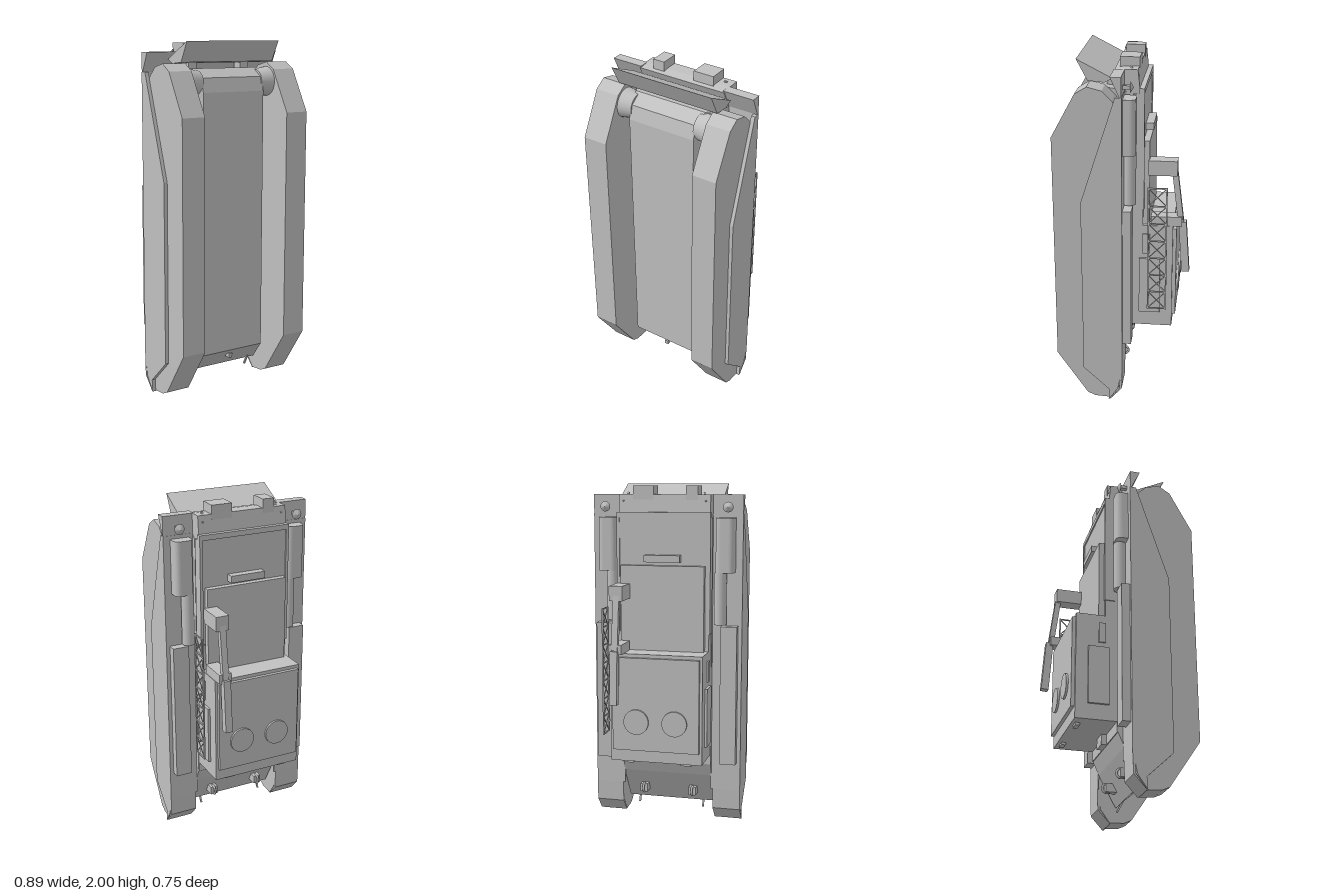
import * as THREE from 'three';
import { ConvexGeometry } from 'three/addons/geometries/ConvexGeometry.js';

export function createModel() {
  const model = new THREE.Group();
  const grey = new THREE.MeshStandardMaterial({ color: 0xc0c0c0 });
  grey.name = 'plainGrey';
  const sides = [-1, 1];

  const add = (name, geometry, parent = model) => {
    const mesh = new THREE.Mesh(geometry, grey);
    mesh.name = name;
    parent.add(mesh);
    return mesh;
  };
  // box from its lower and upper limits
  const box = (name, x0, x1, y0, y1, z0, z1) => {
    const m = add(name, new THREE.BoxGeometry(x1 - x0, y1 - y0, z1 - z0));
    m.position.set((x0 + x1) / 2, (y0 + y1) / 2, (z0 + z1) / 2);
    return m;
  };
  // box mirrored to either side
  const pair = (name, x0, x1, y0, y1, z0, z1) => sides.forEach(s =>
    box(name, Math.min(s * x0, s * x1), Math.max(s * x0, s * x1), y0, y1, z0, z1));
  // side profile in (z, y), extruded across x
  const profile = (name, points, x0, x1) => {
    const shape = new THREE.Shape(points.map(p => new THREE.Vector2(...p)));
    const g = new THREE.ExtrudeGeometry(shape, { depth: x1 - x0, bevelEnabled: false });
    g.rotateY(-Math.PI / 2).translate(x1, 0, 0);
    return add(name, g);
  };
  // thin square bar between two points
  const bar = (name, a, b, w, d = w) => {
    const p = new THREE.Vector3(...a), q = new THREE.Vector3(...b);
    const m = add(name, new THREE.BoxGeometry(w, p.distanceTo(q), d));
    m.position.copy(p).add(q).multiplyScalar(0.5);
    m.quaternion.setFromUnitVectors(new THREE.Vector3(0, 1, 0), q.sub(p).normalize());
    return m;
  };

  // lower hull, tapering to a narrow belly
  const hull = [];
  for (const s of sides) {
    for (const [x, y, z] of [[0.205, 0.22, 0.25], [0.205, 1.72, 0.25], [0.205, 1.8, 0.23],
      [0.22, 1.85, 0.16], [0.27, 1.84, 0.08], [0.27, 1.83, 0], [0.262, 0.09, 0.1],
      [0.27, 0.28, 0], [0.27, 0.36, -0.035], [0.27, 1.8, -0.035]])
      hull.push(new THREE.Vector3(s * x, y, z));
  }
  add('lowerHull', new ConvexGeometry(hull));

  // track units, side skirts and fenders
  const track = [[0.375, 0.29], [0.375, 1.6], [0.245, 1.84], [0.18, 1.88], [0.1, 1.86], [0.05, 1.81],
    [0, 1.75], [0, 0.18], [0.015, 0.08], [0.07, 0.005], [0.155, 0.01], [0.2, 0.03]];
  const skirt = [[0.22, 0.21], [0.22, 1.24], [0.03, 1.83], [0, 1.83], [0, 0.18], [0.02, 0.08],
    [0.075, 0], [0.07, 0.07]];
  for (const s of sides) {
    const span = (a, b) => s > 0 ? [a, b] : [-b, -a];
    profile('trackUnit', track, ...span(0.278, 0.422));
    profile('sideSkirt', skirt, ...span(0.42, 0.443));
    profile('frontFlap', [[-0.004, 1.94], [0.055, 1.94], [0.004, 1.83], [-0.004, 1.83]], ...span(0.26, 0.443));
    profile('rearFlap', [[0.004, 0.2], [0.012, 0.08], [0.07, 0], [-0.002, 0.08], [-0.006, 0.2]], ...span(0.278, 0.443));
    const drive = add('finalDrive', new THREE.CylinderGeometry(0.085, 0.07, 0.085, 24));
    drive.rotation.z = -s * Math.PI / 2;
    drive.position.set(s * 0.24, 1.77, 0.175);
  }
  pair('fender', 0.265, 0.443, 0.2, 1.83, -0.006, 0.002);

  // upper hull, front plate and engine deck
  profile('upperHull', [[0.01, 0.36], [0.01, 1.83], [0.055, 1.93], [0, 1.94], [-0.075, 1.94],
    [-0.085, 1.84], [-0.105, 1.83], [-0.105, 1.05], [-0.04, 1.05], [-0.04, 0.36]], -0.268, 0.268);
  box('deckRim', -0.275, 0.275, 1.81, 1.84, -0.112, -0.08);
  pair('deckRail', 0.258, 0.275, 1.15, 1.81, -0.112, -0.05);
  box('raisedDeck', -0.245, 0.245, 1.03, 1.54, -0.14, -0.1);
  box('deckStep', -0.105, 0.105, 1.56, 1.6, -0.15, -0.1);

  // dozer blade
  profile('frontBlade', [[0.25, 2], [0.19, 1.885], [0.1, 1.877], [0.055, 1.9]], -0.31, 0.31);
  pair('bladeBracket', 0.15, 0.205, 1.82, 1.89, 0.04, 0.1);

  // front equipment
  box('lampBoxSmall', -0.195, -0.125, 1.9, 1.99, -0.078, 0.03);
  box('lampBoxLarge', 0.064, 0.186, 1.9, 1.99, -0.078, 0.03);
  for (const s of sides) {
    bar('frontPin', [s * 0.242, 1.9, -0.08], [s * 0.222, 1.95, -0.028], 0.009);
    const cap = add('markerCap', new THREE.ConeGeometry(0.03, 0.018, 12));
    cap.rotation.x = -Math.PI / 2;
    cap.position.set(s * 0.362, 1.87, -0.054);
    box('markerStem', s * 0.362 - 0.012, s * 0.362 + 0.012, 1.86, 1.88, -0.046, 0);
    // stowage drum with rounded top
    const d = new THREE.Shape();
    d.moveTo(-0.055, 0);
    d.lineTo(0.055, 0);
    d.lineTo(0.055, 0.04);
    d.quadraticCurveTo(0.053, 0.075, 0.02, 0.075);
    d.lineTo(-0.02, 0.075);
    d.quadraticCurveTo(-0.053, 0.075, -0.055, 0.04);
    const drum = add('roundedDrum', new THREE.ExtrudeGeometry(d, { depth: 0.31, bevelEnabled: false }));
    drum.rotation.x = -Math.PI / 2;
    drum.position.set(s * 0.347, 1.5, 0);
    const can = add('canister', new THREE.CylinderGeometry(0.036, 0.036, 0.3, 20));
    can.position.set(s * 0.32, 1.35, -0.036);
  }
  pair('longStowageBox', 0.325, 0.421, 0.37, 1.19, -0.054, 0);

  // turret box, roof and hatches
  box('turret', -0.268, 0.268, 0.42, 1.05, -0.275, -0.035);
  box('turretRoof', -0.253, 0.253, 0.49, 1.03, -0.295, -0.27);
  pair('tallSidePanel', 0.265, 0.282, 0.51, 0.85, -0.205, -0.085);
  pair('smallSidePanel', 0.265, 0.277, 0.88, 1.0, -0.145, -0.105);
  for (const s of sides) {
    const hatch = add('roofHatch', new THREE.CylinderGeometry(0.073, 0.073, 0.02, 32));
    hatch.rotation.x = Math.PI / 2;
    hatch.position.set(s * 0.112, 0.66, -0.297);
    box('turretFoot', s * 0.17 - 0.03, s * 0.17 + 0.03, 0.405, 0.43, -0.255, -0.23);
  }
  box('rearBlock', -0.05, 0.05, 0.36, 0.43, -0.07, -0.02);

  // jointed arm with its mounts
  box('armBase', 0.19, 0.268, 1.35, 1.435, -0.295, -0.135);
  box('armRest', 0.19, 0.265, 1.05, 1.105, -0.325, -0.15);
  bar('upperArm', [0.228, 1.41, -0.275], [0.228, 1.07, -0.318], 0.036, 0.032);
  bar('lowerArm', [0.228, 1.07, -0.327], [0.228, 0.765, -0.349], 0.042, 0.044);

  // lattice rack on the left side
  const rackX = 0.324, z0 = -0.14, z1 = -0.242, low = 0.56, high = 1.295, cells = 7;
  for (const z of [z0, z1]) bar('rackRail', [rackX, low - 0.004, z], [rackX, high + 0.004, z], 0.008);
  for (let i = 0; i <= cells; i++) {
    const y = low + (high - low) * i / cells, next = y + (high - low) / cells;
    bar('rackRung', [rackX, y, z0], [rackX, y, z1], 0.007);
    if (i === cells) continue;
    bar('rackBrace', [rackX, y, z0], [rackX, next, z1], 0.005);
    bar('rackBrace', [rackX, y, z1], [rackX, next, z0], 0.005);
  }
  for (const y of [0.62, 0.92, 1.22]) bar('rackBracket', [0.26, y, z0], [rackX, y, z0], 0.007);

  // rear towing gear
  for (const s of sides) {
    const ring = add('towRing', new THREE.TorusGeometry(0.026, 0.007, 8, 16));
    ring.rotation.y = Math.PI / 2;
    ring.position.set(s * 0.15, 0.17, 0.015);
    box('towBlock', s * 0.15 - 0.022, s * 0.15 + 0.022, 0.145, 0.195, 0.005, 0.08);
    bar('rearPin', [s * 0.2, 0.05, 0.09], [s * 0.2, 0.125, 0.13], 0.01);
  }
  box('bellyHook', -0.011, 0.011, 0.165, 0.19, 0.15, 0.23);

  return model;
}
